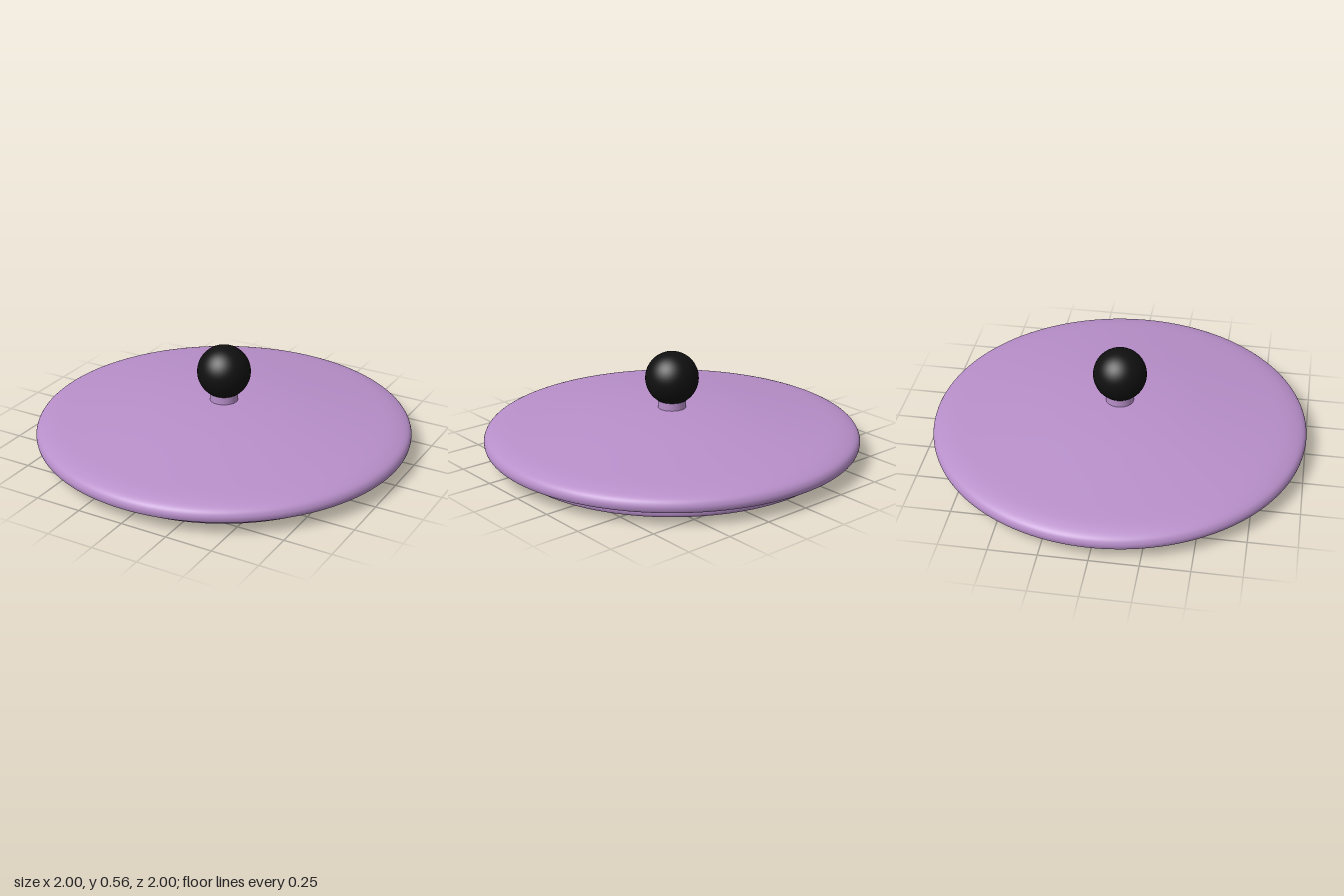
import * as THREE from 'three';

const lilac = new THREE.MeshStandardMaterial({ color: 0xb88fca });
lilac.name = 'lilac glaze';
const black = new THREE.MeshStandardMaterial({ color: 0x101010 });
black.name = 'black knob';

// Smooth run of profile points through a few [radius, height] pairs
function smooth(pairs, count) {
  const points = pairs.map(([r, y]) => new THREE.Vector2(r, y));
  return new THREE.SplineCurve(points).getPoints(count)
    .map((p) => new THREE.Vector2(Math.max(p.x, 0), Math.max(p.y, 0)));
}

function addMesh(group, name, geometry, material, y = 0) {
  const mesh = new THREE.Mesh(geometry, material);
  mesh.name = name;
  mesh.position.y = y;
  group.add(mesh);
}

export function createModel() {
  const group = new THREE.Group();
  group.name = 'lid';

  // Hollow underside, from the centre out and down to the seating ring
  const underside = smooth([
    [0, 0.18], [0.25, 0.172], [0.5, 0.145], [0.66, 0.115], [0.725, 0.09],
    [0.752, 0.06], [0.765, 0.025], [0.78, 0.004], [0.8, 0],
  ], 40);

  // Seating ring with a rounded foot and a fillet up to the overhang
  const ring = smooth([
    [0.865, 0], [0.88, 0.005], [0.888, 0.02], [0.89, 0.045],
    [0.898, 0.061], [0.92, 0.07],
  ], 20);

  // Rounded outer edge and shallow dome
  const dome = smooth([
    [0.97, 0.07], [0.988, 0.074], [0.998, 0.086], [1, 0.11], [0.985, 0.135],
    [0.945, 0.154], [0.88, 0.17], [0.75, 0.189], [0.55, 0.215],
    [0.35, 0.237], [0.15, 0.249], [0, 0.252],
  ], 60);

  addMesh(group, 'lidBody', new THREE.LatheGeometry([...underside, ...ring, ...dome], 128), lilac);

  // Handle: short neck and round knob
  addMesh(group, 'neck', new THREE.CylinderGeometry(0.075, 0.075, 0.09, 48), lilac, 0.275);
  addMesh(group, 'knob', new THREE.SphereGeometry(0.142, 48, 32), black, 0.413);

  return group;
}
